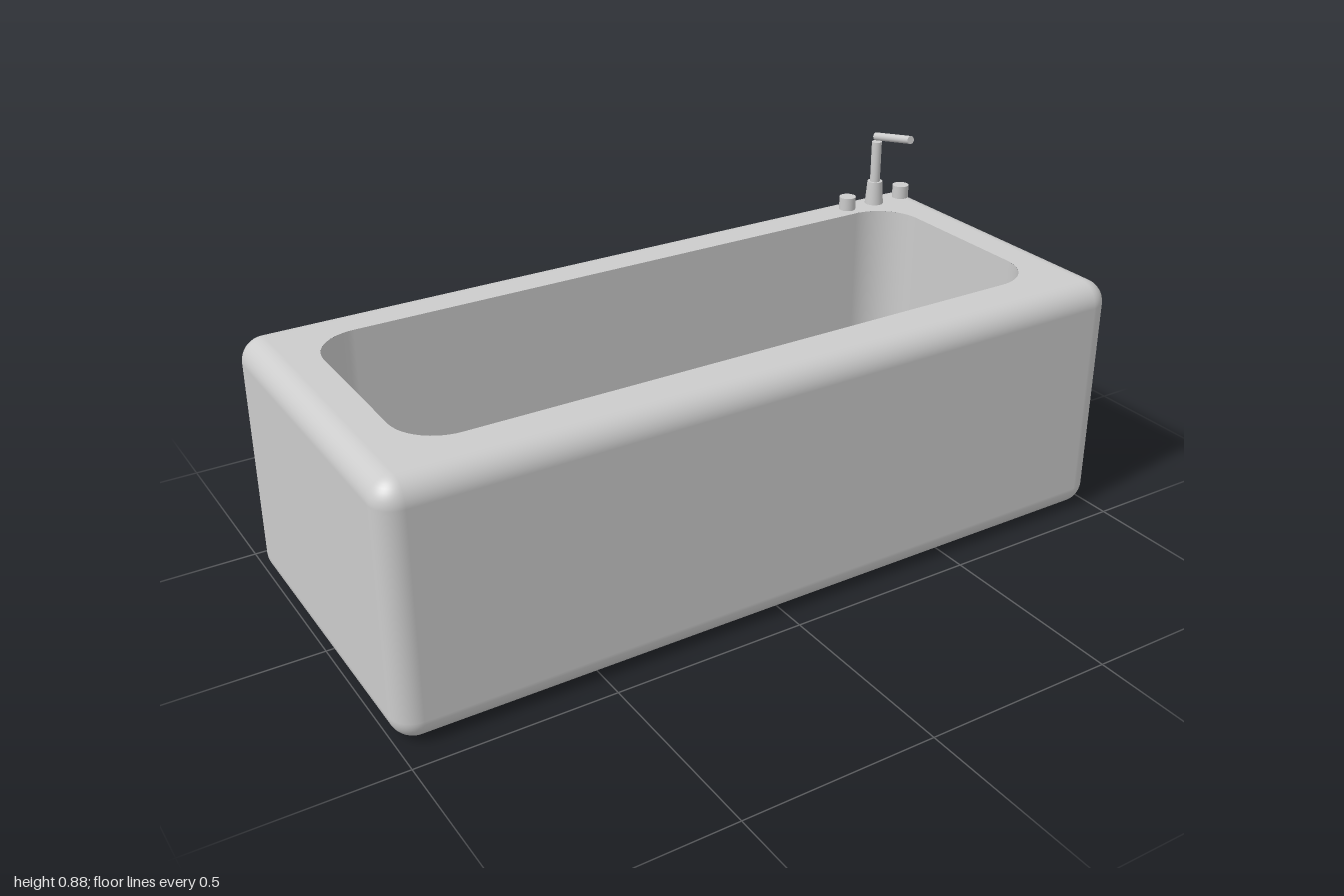
import * as THREE from 'three';

const TOP = 0.645, FLOOR = 0.13;
const OUT = { x: 0.94, z: 0.38, r: 0.06 };    // body core half sizes and edge radius
const IN = { x: 0.7475, z: 0.185, r: 0.12 };  // basin core half sizes and edge radius
const BASIN_Z = -0.003;

// Rounded-rectangle rings stacked along a profile of [radius, y, normalOut, normalY]
function ringShell(core, profile, inward) {
  const pos = [], nor = [], idx = [], n = 12, sgn = inward ? -1 : 1;
  const corners = [[1, 1], [-1, 1], [-1, -1], [1, -1]];
  for (const [r, y, no, ny] of profile) {
    corners.forEach(([sx, sz], c) => {
      for (let i = 0; i <= n; i++) {
        const a = (c + i / n) * Math.PI / 2, ca = Math.cos(a), sa = Math.sin(a);
        pos.push(sx * core.x + r * ca, y, sz * core.z + r * sa);
        nor.push(sgn * no * ca, sgn * ny, sgn * no * sa);
      }
    });
  }
  const m = 4 * (n + 1);
  for (let k = 0; k < profile.length - 1; k++) {
    for (let i = 0; i < m; i++) {
      const j = (i + 1) % m;
      const a = k * m + i, b = k * m + j, c = a + m, d = b + m;
      if (inward) idx.push(a, b, c, b, d, c);
      else idx.push(a, c, b, b, c, d);
    }
  }
  const g = new THREE.BufferGeometry();
  g.setAttribute('position', new THREE.Float32BufferAttribute(pos, 3));
  g.setAttribute('normal', new THREE.Float32BufferAttribute(nor, 3));
  g.setIndex(idx);
  return g;
}

// Quarter-round profile between two angles around height yc
function arc(r, yc, a0, a1, steps = 10) {
  return Array.from({ length: steps + 1 }, (_, i) => {
    const a = a0 + (a1 - a0) * i / steps;
    return [r * Math.cos(a), yc + r * Math.sin(a), Math.cos(a), Math.sin(a)];
  });
}

export function createModel() {
  const group = new THREE.Group();
  const mat = new THREE.MeshStandardMaterial({ color: 0xcccccc });
  const add = (name, geo, x = 0, y = 0, z = 0) => {
    const mesh = new THREE.Mesh(geo, mat);
    mesh.name = name;
    mesh.position.set(x, y, z);
    group.add(mesh);
    return mesh;
  };
  const H = Math.PI / 2;

  // Outer body with rounded edges, and its underside
  add('tubBody', ringShell(OUT, [
    ...arc(OUT.r, OUT.r, -H, 0), ...arc(OUT.r, TOP - OUT.r, 0, H)], false));
  add('underside', new THREE.PlaneGeometry(OUT.x * 2, OUT.z * 2).rotateX(H));

  // Flat rim with the rounded basin opening
  const rim = new THREE.Shape([
    new THREE.Vector2(-OUT.x, -OUT.z), new THREE.Vector2(OUT.x, -OUT.z),
    new THREE.Vector2(OUT.x, OUT.z), new THREE.Vector2(-OUT.x, OUT.z)]);
  const hole = new THREE.Path();
  [[1, 1], [-1, 1], [-1, -1], [1, -1]].forEach(([sx, sz], c) =>
    hole.absarc(sx * IN.x, sz * IN.z - BASIN_Z, IN.r, c * H, (c + 1) * H));
  rim.holes.push(hole);
  add('rim', new THREE.ShapeGeometry(rim, 12).rotateX(-H), 0, TOP, 0);

  // Basin walls curving into a flat floor
  add('basinWalls', ringShell(IN, [
    ...arc(IN.r, FLOOR + IN.r, -H, 0), [IN.r, TOP, 1, 0]], true), 0, 0, BASIN_Z);
  add('basinFloor', new THREE.PlaneGeometry(IN.x * 2, IN.z * 2).rotateX(-H), 0, FLOOR, BASIN_Z);
  add('drain', new THREE.CylinderGeometry(0.027, 0.027, 0.01, 32), -0.71, FLOOR + 0.003, BASIN_Z);

  // Tap: tapered base, upright pipe, tilted spout and a knob on each side
  const tx = 0.845, tz = -0.353;
  add('tapBase', new THREE.CylinderGeometry(0.021, 0.026, 0.065, 32), tx, TOP + 0.0325, tz);
  add('tapPipe', new THREE.CylinderGeometry(0.014, 0.014, 0.12, 32), tx, 0.766, tz);
  const from = new THREE.Vector3(tx, 0.84, -0.357), to = new THREE.Vector3(tx, 0.87, -0.207);
  const dir = to.clone().sub(from);
  const spout = add('tapSpout', new THREE.CylinderGeometry(0.011, 0.011, dir.length(), 24));
  spout.position.copy(from).add(to).multiplyScalar(0.5);
  spout.quaternion.setFromUnitVectors(new THREE.Vector3(0, 1, 0), dir.normalize());
  for (const [name, s] of [['leftKnob', 1], ['rightKnob', -1]])
    add(name, new THREE.CylinderGeometry(0.023, 0.023, 0.036, 32), tx + s * 0.095, TOP + 0.018, tz);

  return group;
}
